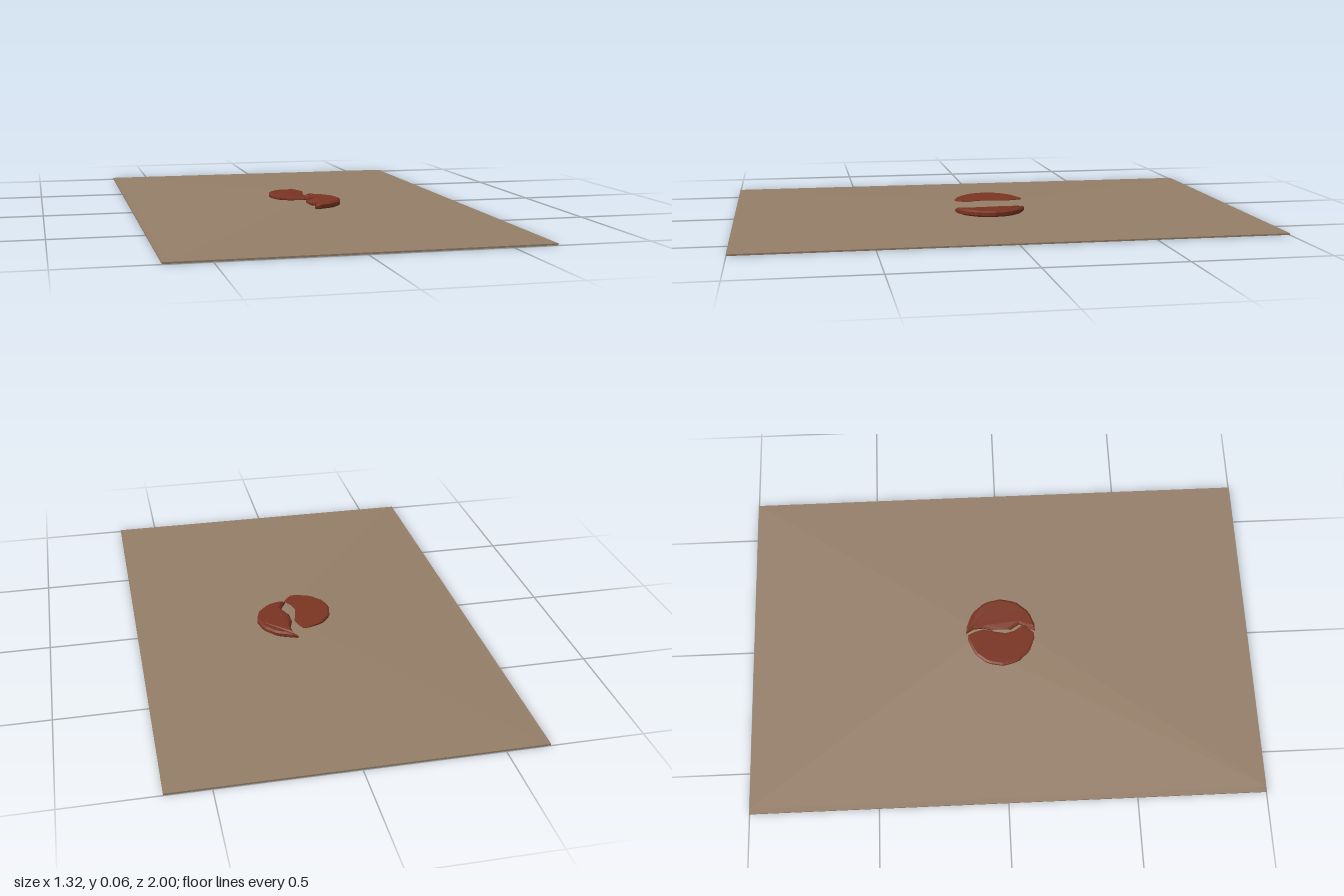
import * as THREE from 'three';

const paper = new THREE.MeshStandardMaterial({ color: 0x947e68, side: THREE.DoubleSide });
paper.name = 'kraft paper';
const wax = new THREE.MeshStandardMaterial({ color: 0x7a3422 });
wax.name = 'sealing wax';
const stampInk = new THREE.MeshStandardMaterial({ color: 0x96604a });
stampInk.name = 'stamp red';

const TOP = 0.007; // upper face of the envelope
const flapY = (x) => TOP + 0.001 + 0.058 * (x + 0.64);

function add(group, name, geometry, material, x = 0, y = 0, z = 0) {
  const mesh = new THREE.Mesh(geometry, material);
  mesh.name = name;
  mesh.position.set(x, y, z);
  group.add(mesh);
}

// Half of a broken wax disc: a cracked edge (x, z pairs) closed by a slightly uneven arc.
// side is -1 or +1 in x; bottom(x) and top(x) give its two surfaces.
function sealHalf(crack, side, cx, radius, bottom, top) {
  const points = crack.map(([x, z]) => new THREE.Vector2(x, -z));
  const angleOf = ([x, z]) => Math.atan2(z, (x - cx) * side);
  const a0 = angleOf(crack[crack.length - 1]);
  const a1 = angleOf(crack[0]);
  const steps = 18;
  for (let i = 1; i < steps; i++) {
    const a = a0 + ((a1 - a0) * i) / steps;
    const r = radius * (1 + 0.012 * Math.sin(i * 2.3));
    points.push(new THREE.Vector2(cx + side * r * Math.cos(a), -r * Math.sin(a)));
  }
  const depth = 0.012, bevel = 0.006;
  const geometry = new THREE.ExtrudeGeometry(new THREE.Shape(points), {
    depth, bevelEnabled: true, bevelThickness: bevel, bevelSize: 0.008, bevelOffset: -0.008, bevelSegments: 1,
  });
  geometry.rotateX(-Math.PI / 2);
  const p = geometry.attributes.position;
  for (let i = 0; i < p.count; i++) {
    const t = (p.getY(i) + bevel) / (depth + 2 * bevel);
    p.setY(i, THREE.MathUtils.lerp(bottom(p.getX(i)), top(p.getX(i)), t));
  }
  geometry.computeVertexNormals();
  return geometry;
}

export function createModel() {
  const group = new THREE.Group();
  group.name = 'openedLetter';

  // Envelope body, with a stamp on the underside
  add(group, 'envelope', new THREE.BoxGeometry(1.32, 0.006, 2), paper, 0, TOP - 0.003, 0);
  add(group, 'stamp', new THREE.BoxGeometry(0.32, 0.002, 0.27), stampInk, -0.44, 0.001, 0.805);

  // Lifted triangular flap
  const outline = [[-0.64, 1], [-0.01, 0.13], [0.04, 0.03], [0.04, -0.03], [-0.01, -0.13], [-0.64, -1]];
  const flap = new THREE.ShapeGeometry(new THREE.Shape(outline.map(([x, z]) => new THREE.Vector2(x, -z))));
  flap.rotateX(-Math.PI / 2);
  const p = flap.attributes.position;
  for (let i = 0; i < p.count; i++) p.setY(i, flapY(p.getX(i)));
  flap.computeVertexNormals();
  add(group, 'flap', flap, paper);

  // Broken seal: one half rides on the flap, the other stays on the envelope
  const flapCrack = [[0.02, -0.135], [0.032, -0.11], [0.043, -0.07], [0.03, -0.02], [0.023, 0.02],
    [0.032, 0.055], [0.055, 0.088], [0.042, 0.11], [0.02, 0.132]];
  add(group, 'sealHalfOnFlap', sealHalf(flapCrack, -1, 0.022, 0.134,
    (x) => flapY(x) + 0.0005, (x) => 0.0585 - 0.05 * (x + 0.11)), wax);

  const bodyCrack = [[0.04, -0.142], [0.058, -0.11], [0.06, -0.07], [0.044, -0.02], [0.045, 0.03],
    [0.072, 0.075], [0.06, 0.105], [0.042, 0.138]];
  add(group, 'sealHalfOnEnvelope', sealHalf(bodyCrack, 1, 0.04, 0.139,
    () => TOP + 0.001, (x) => 0.032 - 0.35 * Math.max(0, 0.07 - x)), wax);

  return group;
}
